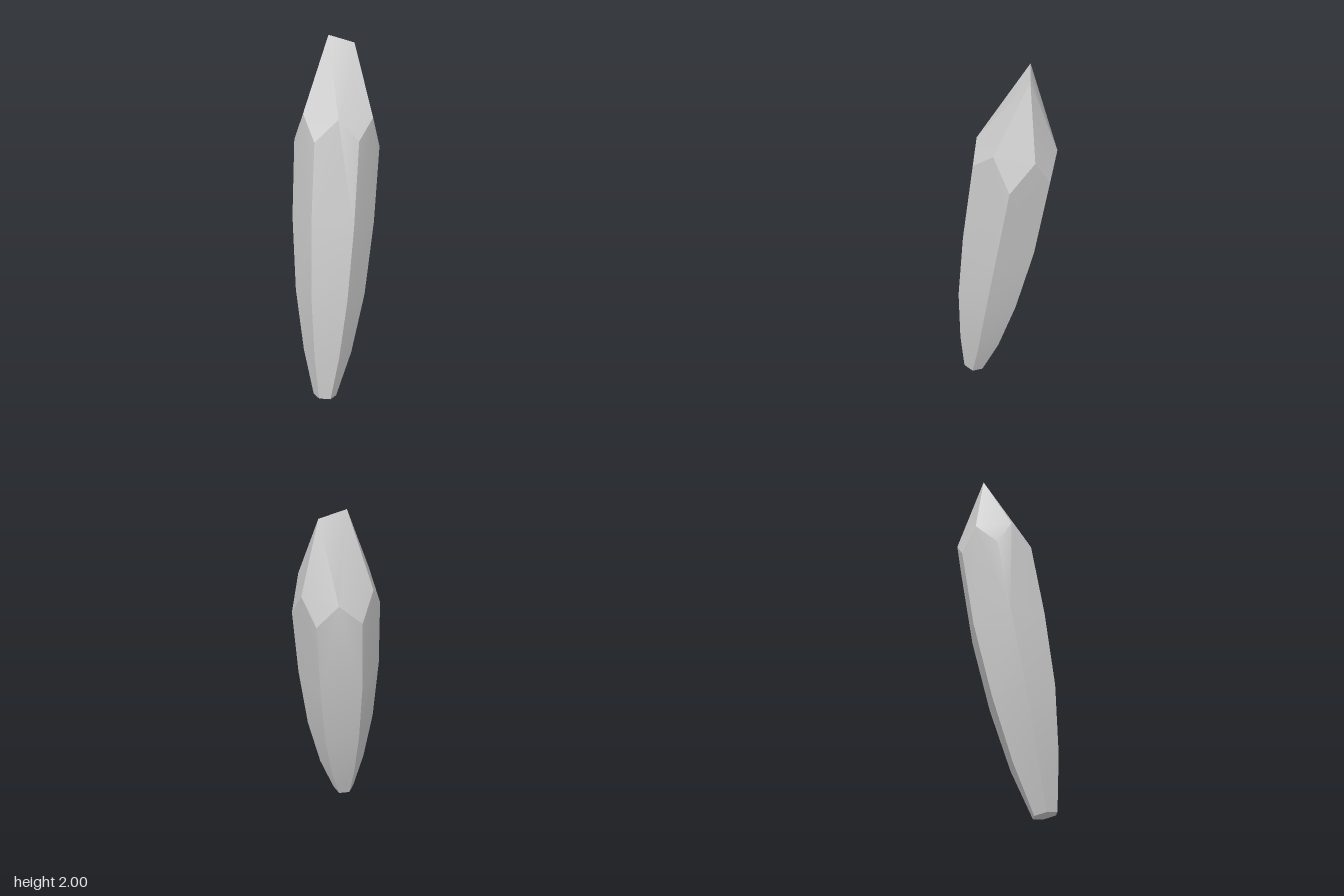
import * as THREE from 'three';
import { toCreasedNormals } from 'three/addons/utils/BufferGeometryUtils.js';

// Six-sided directions around the shaft, counter-clockwise from above, starting at the right front
const HEX = [[-1, 0.5], [0, 1], [1, 0.5], [1, -0.5], [0, -1], [-1, -0.5]];

// Leaning shaft rings: centre x, y, z, half width, half depth
const RINGS = [
  [-0.155, 0.012, 0.145, 0.056, 0.066],
  [-0.118, 0.28, 0.112, 0.118, 0.131],
  [-0.076, 0.63, 0.07, 0.167, 0.188],
  [-0.026, 1.04, 0.016, 0.192, 0.221],
];

// Low points of the zigzag shoulder, one on top of each shaft edge
const CORNERS = [
  [-0.17, 1.51, 0.08], [0.027, 1.517, 0.19], [0.222, 1.43, 0.078],
  [0.22, 1.443, -0.147], [0.022, 1.455, -0.259], [-0.171, 1.468, -0.146],
];

// High points of the shoulder, one above each side of the shaft
const PEAKS = [
  [-0.06, 1.625, 0.13], [0.145, 1.61, 0.13], [0.242, 1.58, -0.05],
  [0.14, 1.57, -0.225], [-0.065, 1.6, -0.225], [-0.165, 1.63, -0.05],
];

// The tip is a short slanted ridge; each peak runs up to one of its two ends
const RIDGE_HIGH = [0.025, 2, -0.122];
const RIDGE_LOW = [0.145, 1.96, -0.063];
const APEX = [RIDGE_HIGH, RIDGE_LOW, RIDGE_LOW, RIDGE_HIGH, RIDGE_HIGH, RIDGE_HIGH];

// Each ring is tilted to stay roughly square to the leaning axis
function ringPoints([cx, cy, cz, w, d]) {
  return HEX.map(([u, v]) => [cx + u * w, cy - 0.16 * u * w + 0.13 * v * d, cz + v * d]);
}

function crystalGeometry() {
  const positions = [];
  // Adds a convex polygon as a fan around its first point
  const polygon = (...pts) => {
    for (let i = 1; i < pts.length - 1; i++) positions.push(...pts[0], ...pts[i], ...pts[i + 1]);
  };
  const rings = RINGS.map(ringPoints);
  const last = rings.length - 1;

  for (let i = 0; i < 6; i++) {
    const j = (i + 1) % 6;
    const h = (i + 5) % 6;
    // Shaft side panels
    for (let r = 0; r < last; r++) {
      polygon(rings[r][i], rings[r][j], rings[r + 1][j], rings[r + 1][i]);
    }
    // Top panel, rising to a peak
    polygon(PEAKS[i], CORNERS[i], rings[last][i], rings[last][j], CORNERS[j]);
    // Tip facet above each shaft edge; those along the ridge bend outward from the peak under its high end
    if (APEX[h] === APEX[i]) polygon(PEAKS[i], APEX[i], PEAKS[h], CORNERS[i]);
    else if (APEX[i] === RIDGE_HIGH) polygon(PEAKS[i], APEX[i], APEX[h], PEAKS[h], CORNERS[i]);
    else polygon(PEAKS[h], CORNERS[i], PEAKS[i], APEX[i], APEX[h]);
  }
  // Small flat base
  polygon(...[...rings[0]].reverse());

  const geometry = new THREE.BufferGeometry();
  geometry.setAttribute('position', new THREE.Float32BufferAttribute(positions, 3));
  return toCreasedNormals(geometry, THREE.MathUtils.degToRad(30));
}

export function createModel() {
  const group = new THREE.Group();
  group.name = 'crystalShard';
  const stone = new THREE.MeshStandardMaterial({ color: 0xcccccc });
  stone.name = 'pale grey stone';
  const crystal = new THREE.Mesh(crystalGeometry(), stone);
  crystal.name = 'crystal';
  group.add(crystal);
  return group;
}
